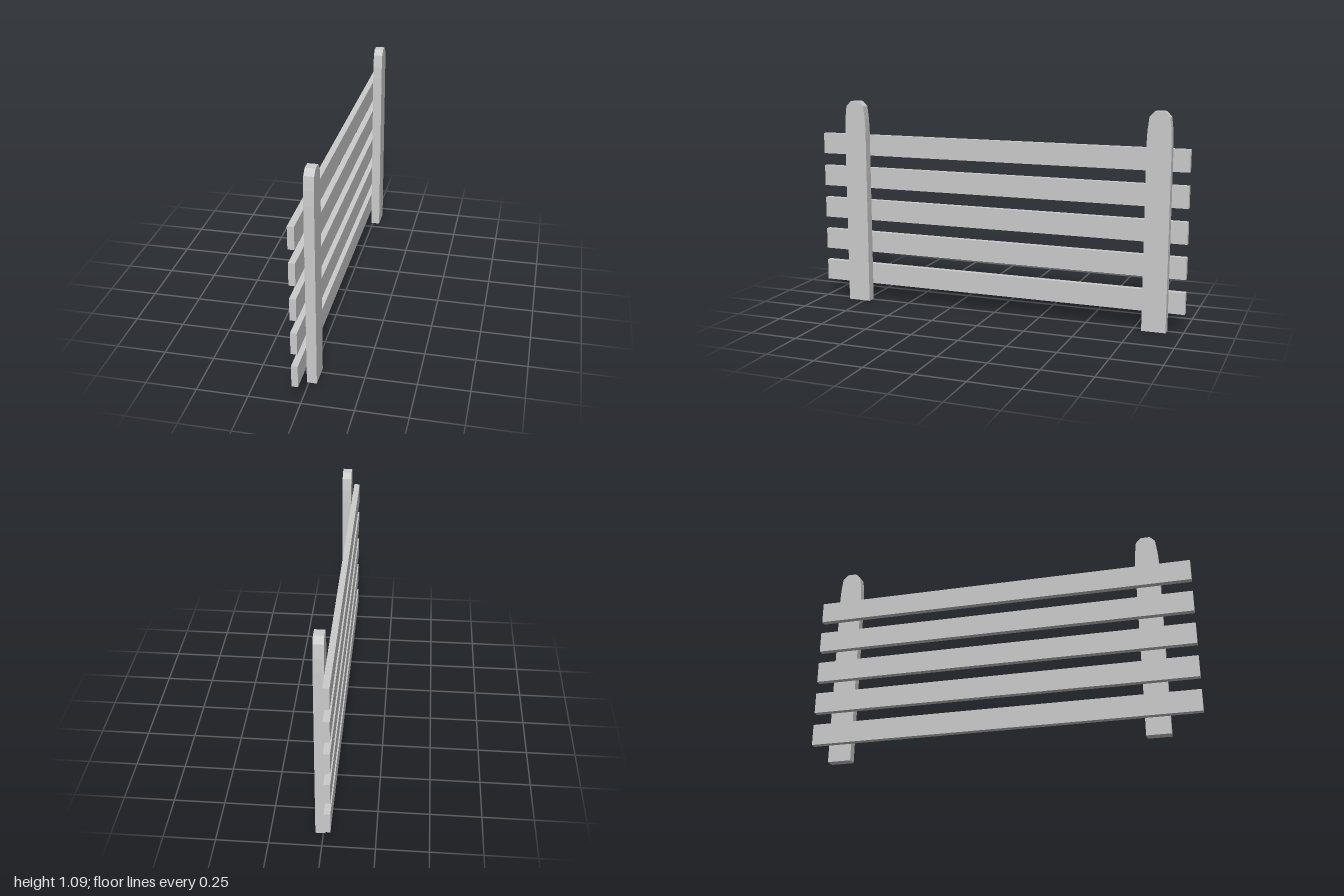
import * as THREE from 'three';

export function createModel() {
  const fence = new THREE.Group();
  fence.name = 'fence';
  const material = new THREE.MeshStandardMaterial({ color: 0xcccccc, flatShading: true });

  // Post outline, half width against height, mirrored about its centre line
  const half = [[0.061, 0], [0.061, 0.93], [0.058, 1.0], [0.05, 1.066], [0.024, 1.093]];
  const outline = [...half, ...half.map(([w, y]) => [-w, y]).reverse()];
  const postShape = new THREE.Shape(outline.map(([w, y]) => new THREE.Vector2(w, y)));
  const postGeometry = new THREE.ExtrudeGeometry(postShape, { depth: 0.048, bevelEnabled: false });
  postGeometry.rotateY(Math.PI / 2);

  // Two upright posts with rounded tops
  [['frontPost', 0.78], ['backPost', -0.856]].forEach(([name, z]) => {
    const post = new THREE.Mesh(postGeometry, material);
    post.name = name;
    post.position.set(-0.01, 0, z);
    fence.add(post);
  });

  // Five horizontal rails fixed to one side of the posts
  const railGeometry = new THREE.BoxGeometry(0.031, 0.111, 2);
  for (let i = 0; i < 5; i++) {
    const rail = new THREE.Mesh(railGeometry, material);
    rail.name = `rail${i + 1}`;
    rail.position.set(-0.0255, 0.145 + i * 0.1775, 0);
    fence.add(rail);
  }
  return fence;
}
